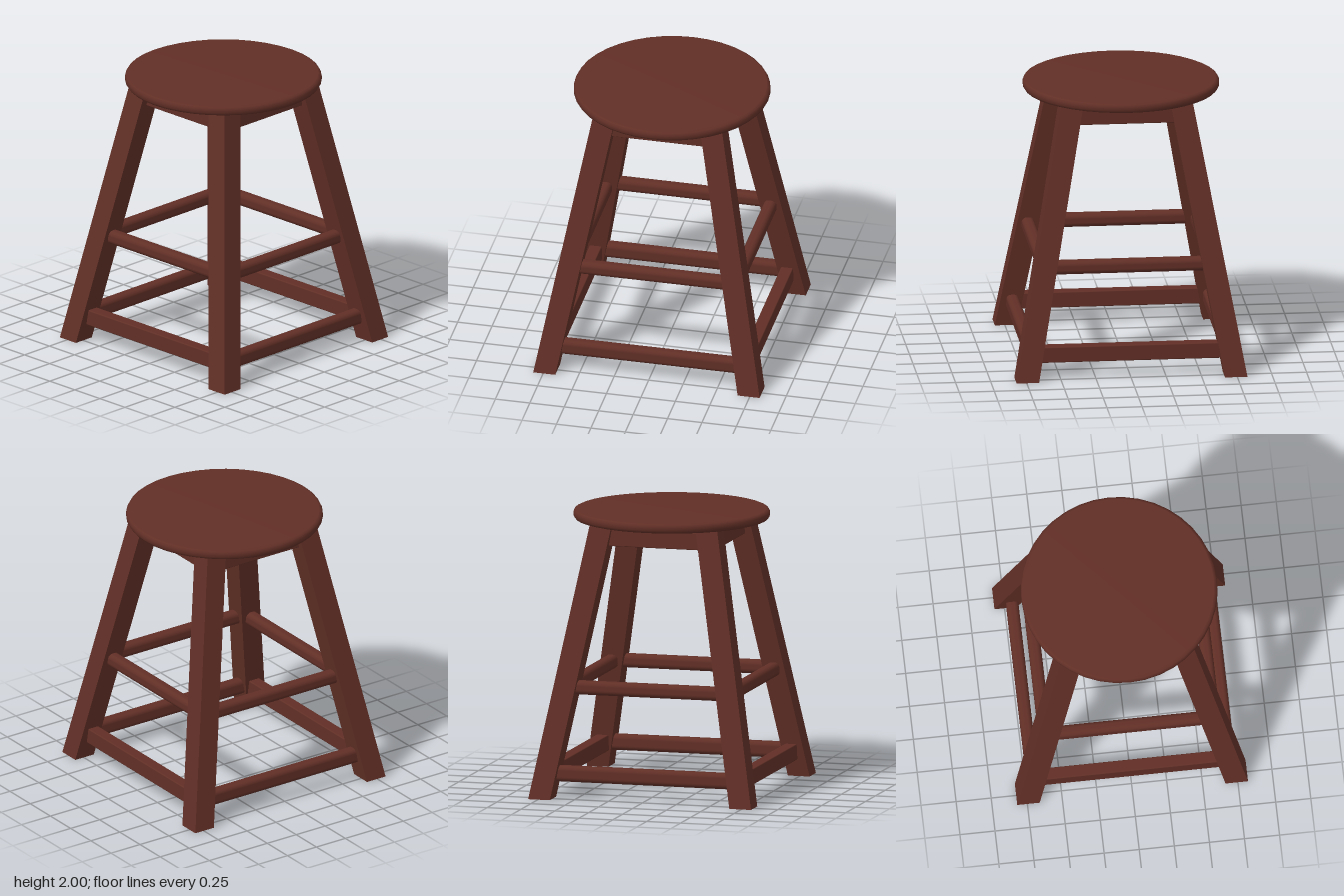
import * as THREE from 'three';
import { RoundedBoxGeometry } from 'three/addons/geometries/RoundedBoxGeometry.js';

export function createModel() {
  const stool = new THREE.Group();
  stool.name = 'stool';
  const wood = new THREE.MeshStandardMaterial({ color: 0x612f26 });
  wood.name = 'red brown wood';

  const add = (name, geometry, x = 0, y = 0, z = 0) => {
    const mesh = new THREE.Mesh(geometry, wood);
    mesh.name = name;
    mesh.position.set(x, y, z);
    stool.add(mesh);
    return mesh;
  };

  // Round seat with softened rims
  const profile = [[0, 1.925], [0.66, 1.925], [0.685, 1.932], [0.697, 1.95],
    [0.697, 1.975], [0.688, 1.992], [0.67, 2], [0, 2]];
  add('seat', new THREE.LatheGeometry(profile.map(([r, y]) => new THREE.Vector2(r, y)), 40), -0.006, 0, 0);

  // Square legs, leaning inward along both axes
  const legHeight = 1.93, footCentre = 0.742, topCentre = 0.39;
  const legCentre = (y) => footCentre + (topCentre - footCentre) * y / legHeight;
  for (const sx of [-1, 1]) {
    for (const sz of [-1, 1]) {
      const leg = new THREE.BoxGeometry(0.16, legHeight, 0.16);
      leg.translate(0, legHeight / 2, 0);
      const p = leg.attributes.position;
      for (let i = 0; i < p.count; i++) {
        const c = legCentre(p.getY(i));
        p.setXYZ(i, p.getX(i) + sx * c, p.getY(i), p.getZ(i) + sz * c);
      }
      leg.computeVertexNormals();
      add(`${sz > 0 ? 'front' : 'back'}${sx > 0 ? 'Left' : 'Right'}Leg`, leg);
    }
  }

  // Rails on all four sides: height, size, offset from centre and edge rounding
  const rails = [
    { name: 'Apron', y: 1.842, h: 0.125, d: 0.08, offset: 0.4, r: 0.006, rSide: 0.006 },
    { name: 'MiddleRung', y: 0.784, h: 0.1, d: 0.09, offset: 0.597, r: 0.036, rSide: 0.036 },
    { name: 'LowerRail', y: 0.178, h: 0.115, d: 0.088, offset: 0.695, r: 0.008, rSide: 0.034 },
  ];
  for (const { name, y, h, d, offset, r, rSide } of rails) {
    const length = 2 * legCentre(y) - 0.02;
    for (const s of [-1, 1]) {
      add((s > 0 ? 'front' : 'back') + name, new RoundedBoxGeometry(length, h, d, 3, r), 0, y, s * offset);
      add((s > 0 ? 'left' : 'right') + name, new RoundedBoxGeometry(d, h, length, 3, rSide), s * (offset + 0.005), y, 0);
    }
  }
  return stool;
}
